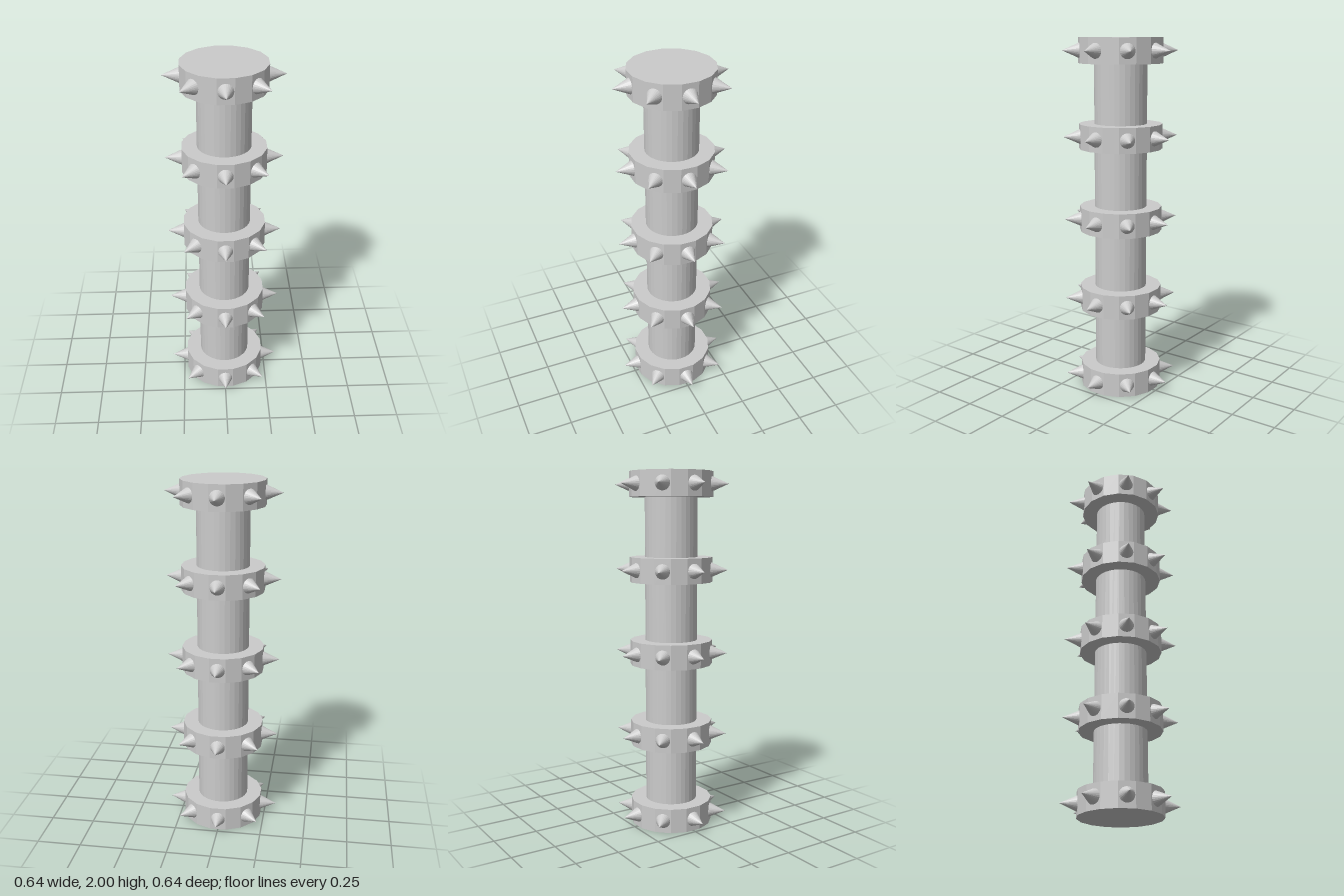
import * as THREE from 'three';

const HEIGHT = 2;
const COLLARS = 5;
const COLLAR_HEIGHT = 0.138;
const COLLAR_RADIUS = 0.232;
const COLLAR_SIDES = 16;
const FLAT_RADIUS = COLLAR_RADIUS * Math.cos(Math.PI / COLLAR_SIDES);
const SPIKES = 8;
const SPIKE_TIP = 0.32;

export function createModel() {
  const model = new THREE.Group();
  model.name = 'spikedColumn';
  const flat = new THREE.MeshStandardMaterial({ color: 0xcccccc, flatShading: true });

  // Central shaft, ending inside the two outer collars
  const shaft = new THREE.Mesh(new THREE.CylinderGeometry(0.146, 0.146, HEIGHT - COLLAR_HEIGHT, 32), flat);
  shaft.name = 'shaft';
  shaft.position.y = HEIGHT / 2;
  model.add(shaft);

  // Collar with flats facing the axes; spike lying along +z, base sunk slightly into a flat
  const collarGeometry = new THREE.CylinderGeometry(COLLAR_RADIUS, COLLAR_RADIUS, COLLAR_HEIGHT, COLLAR_SIDES);
  collarGeometry.rotateY(Math.PI / COLLAR_SIDES);
  const base = FLAT_RADIUS - 0.002;
  const spikeGeometry = new THREE.ConeGeometry(0.042, SPIKE_TIP - base, 24);
  spikeGeometry.rotateX(Math.PI / 2);
  spikeGeometry.translate(0, 0, (SPIKE_TIP + base) / 2);

  // Evenly spaced spiked collars
  for (let i = 0; i < COLLARS; i++) {
    const ring = new THREE.Group();
    ring.name = `spikedCollar${i + 1}`;
    ring.position.y = COLLAR_HEIGHT / 2 + (i * (HEIGHT - COLLAR_HEIGHT)) / (COLLARS - 1);
    const collar = new THREE.Mesh(collarGeometry, flat);
    collar.name = 'collar';
    ring.add(collar);
    for (let j = 0; j < SPIKES; j++) {
      const spike = new THREE.Mesh(spikeGeometry, flat);
      spike.name = `spike${j + 1}`;
      spike.rotation.y = (j * 2 * Math.PI) / SPIKES;
      ring.add(spike);
    }
    model.add(ring);
  }
  return model;
}
